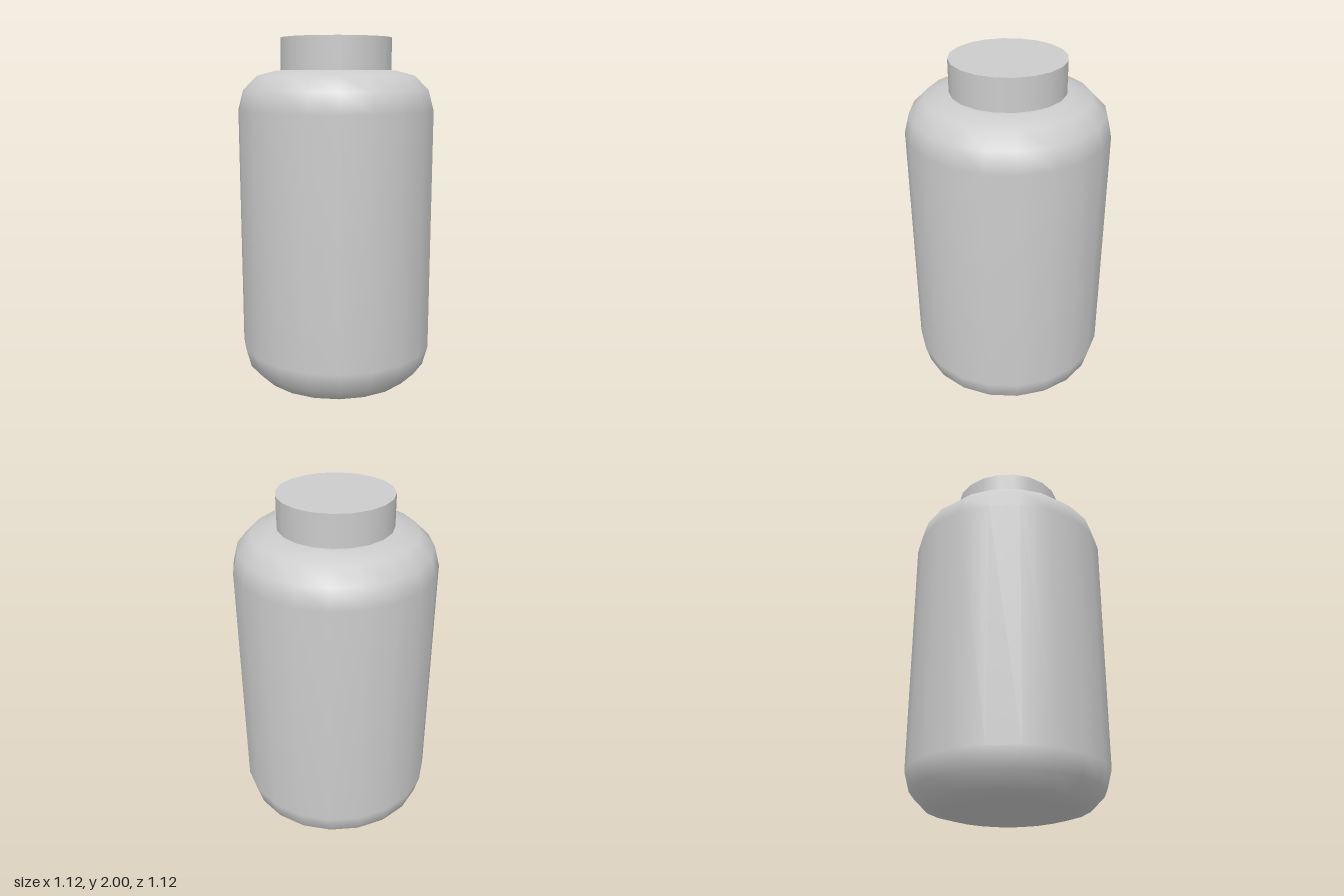
import * as THREE from 'three';

const SIDES = 20;
const BODY_RADIUS = 0.56, BODY_TOP = 1.82, ROUND = 0.22;
const NECK_RADIUS = 0.315, TOTAL_HEIGHT = 2;

// Quarter-round edge in three steps, from angle a0 to a1 (degrees)
function roundedEdge(centreY, a0, a1) {
  const points = [];
  for (let i = 0; i <= 3; i++) {
    const a = THREE.MathUtils.degToRad(a0 + ((a1 - a0) * i) / 3);
    points.push(new THREE.Vector2(
      BODY_RADIUS - ROUND + ROUND * Math.cos(a),
      centreY + ROUND * Math.sin(a)
    ));
  }
  return points;
}

export function createModel() {
  const model = new THREE.Group();
  model.name = 'bottle';
  const material = new THREE.MeshStandardMaterial({ color: 0xcccccc });

  // Body: flat base, rounded foot, straight wall, rounded shoulder
  const profile = [
    new THREE.Vector2(0, 0),
    ...roundedEdge(ROUND, -90, 0),
    ...roundedEdge(BODY_TOP - ROUND, 0, 90),
    new THREE.Vector2(NECK_RADIUS - 0.005, BODY_TOP),
  ];
  const body = new THREE.Mesh(new THREE.LatheGeometry(profile, SIDES), material);
  body.name = 'body';
  model.add(body);

  // Cap: short sharp-edged cylinder on the shoulder
  const capHeight = TOTAL_HEIGHT - BODY_TOP;
  const cap = new THREE.Mesh(
    new THREE.CylinderGeometry(NECK_RADIUS, NECK_RADIUS, capHeight, SIDES),
    material
  );
  cap.name = 'cap';
  cap.position.y = BODY_TOP + capHeight / 2;
  model.add(cap);

  return model;
}
